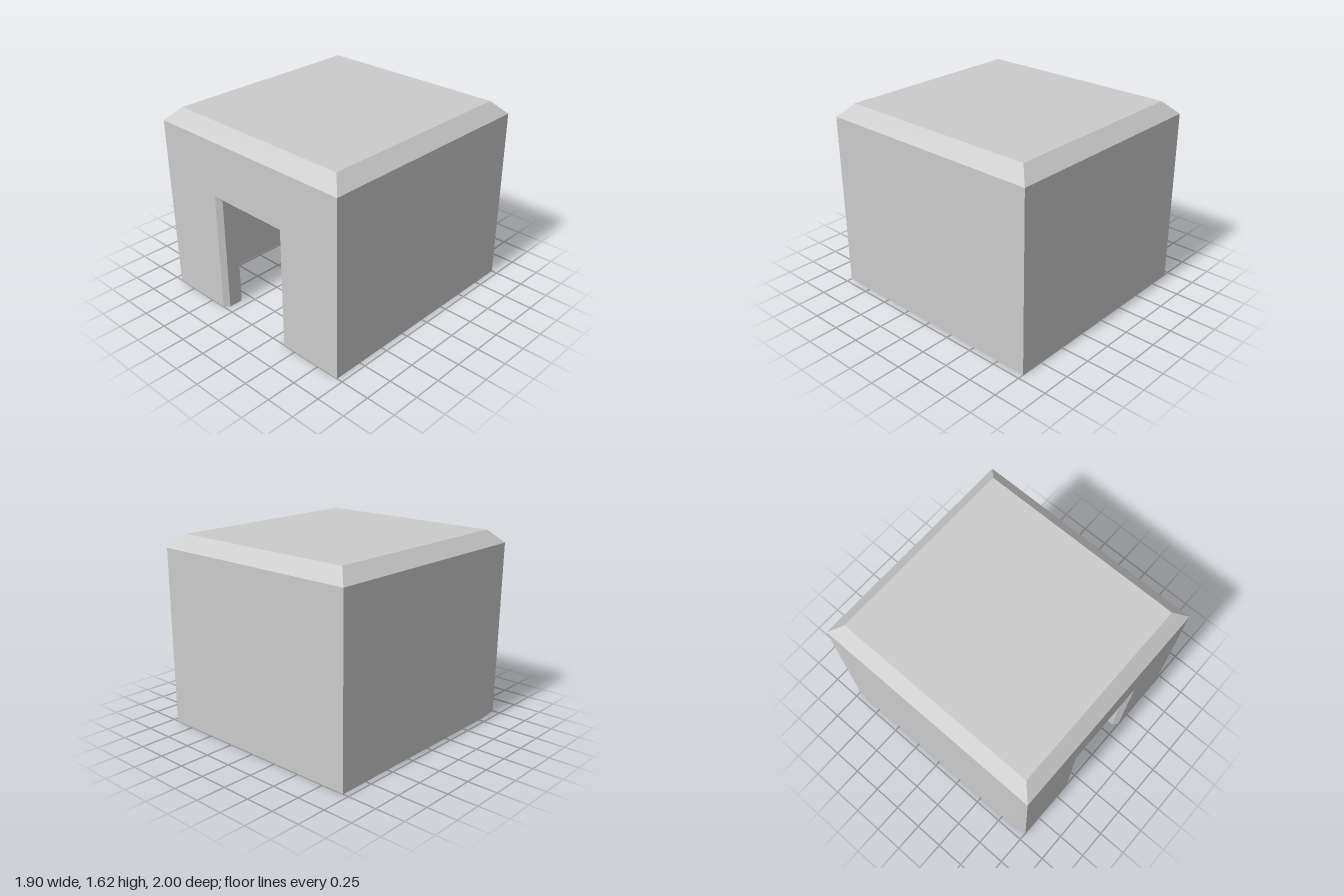
import * as THREE from 'three';

const material = new THREE.MeshStandardMaterial({ color: 0xcccccc, flatShading: true });

// Flat-faced mesh from convex polygons, corners counter-clockwise seen from outside
function polyMesh(name, polygons) {
  const positions = [];
  for (const p of polygons) {
    for (let i = 1; i < p.length - 1; i++) positions.push(...p[0], ...p[i], ...p[i + 1]);
  }
  const geometry = new THREE.BufferGeometry();
  geometry.setAttribute('position', new THREE.Float32BufferAttribute(positions, 3));
  geometry.computeVertexNormals();
  const mesh = new THREE.Mesh(geometry, material);
  mesh.name = name;
  return mesh;
}

// Rectangle corners at height y
const rect = (x, y, z) => [[-x, y, z], [x, y, z], [x, y, -z], [-x, y, -z]];

// Quads joining two closed loops of corners
const band = (lower, upper) => lower.map((p, i) => {
  const j = (i + 1) % lower.length;
  return [p, lower[j], upper[j], upper[i]];
});

const flip = (polygons) => polygons.map((p) => [...p].reverse());

export function createModel() {
  const group = new THREE.Group();
  const X = 0.95, Z = 1, EAVE = 1.51, TOP = 1.62, BEVEL = 0.11;
  const IX = 0.765, IZ = 0.805, CEILING = 1.43;

  // Doorway outlines from the outer face to the inner face, bevelled at both ends
  const doorway = [[1, 0], [0.96, 0.04], [0.845, 0.04], [IZ, 0]].map(([z, b]) => {
    const l = -0.36 + b, r = 0.38 - b, t = 1.04 - b;
    return [[l, 0, z], [l, t, z], [r, t, z], [r, 0, z]];
  });

  // Wall face around the doorway: two piers and a lintel
  const doorWall = (bl, br, tr, tl, d) => [
    [bl, d[0], d[1], tl],
    [tl, d[1], d[2], tr],
    [d[3], br, tr, d[2]],
  ];

  const floor = rect(X, 0, Z), eave = rect(X, EAVE, Z);
  const inFloor = rect(IX, 0, IZ), ceiling = rect(IX, CEILING, IZ);

  // One front corner is slightly chipped at its foot
  const chip = [-0.93, 0, Z], chipSide = [-X, 0, IZ];

  const outer = band(floor, eave);
  group.add(polyMesh('outerWalls', [
    ...doorWall(chip, floor[1], eave[1], eave[0], doorway[0]),
    outer[1], outer[2],
    [floor[3], chipSide, eave[0], eave[3]],
    [chipSide, chip, eave[0]],
  ]));

  // Flat roof with sloped edges
  const roofTop = rect(X - BEVEL, TOP, Z - BEVEL);
  group.add(polyMesh('roof', [...band(eave, roofTop), roofTop]));

  // Hollow room
  const inner = band(inFloor, ceiling);
  group.add(polyMesh('interior', flip([
    ...doorWall(inFloor[0], inFloor[1], ceiling[1], ceiling[0], doorway[3]),
    ...inner.slice(1), ceiling,
  ])));

  // Bevelled jambs and lintel underside
  const jambs = [];
  for (let s = 0; s < 3; s++) {
    const f = doorway[s], b = doorway[s + 1];
    for (let i = 0; i < 3; i++) jambs.push([f[i], b[i], b[i + 1], f[i + 1]]);
  }
  group.add(polyMesh('doorFrame', jambs));

  // Undersides of the walls, open at the doorway
  const feet = doorway.map((d) => d[0]), feetRight = doorway.map((d) => d[3]);
  group.add(polyMesh('wallFeet', [
    [floor[3], floor[2], inFloor[2], inFloor[3]],
    [inFloor[2], floor[2], floor[1], inFloor[1]],
    [floor[3], inFloor[3], inFloor[0], chipSide],
    [chipSide, inFloor[0], ...[...feet].reverse(), chip],
    [floor[1], ...feetRight, inFloor[1]],
  ]));

  return group;
}
